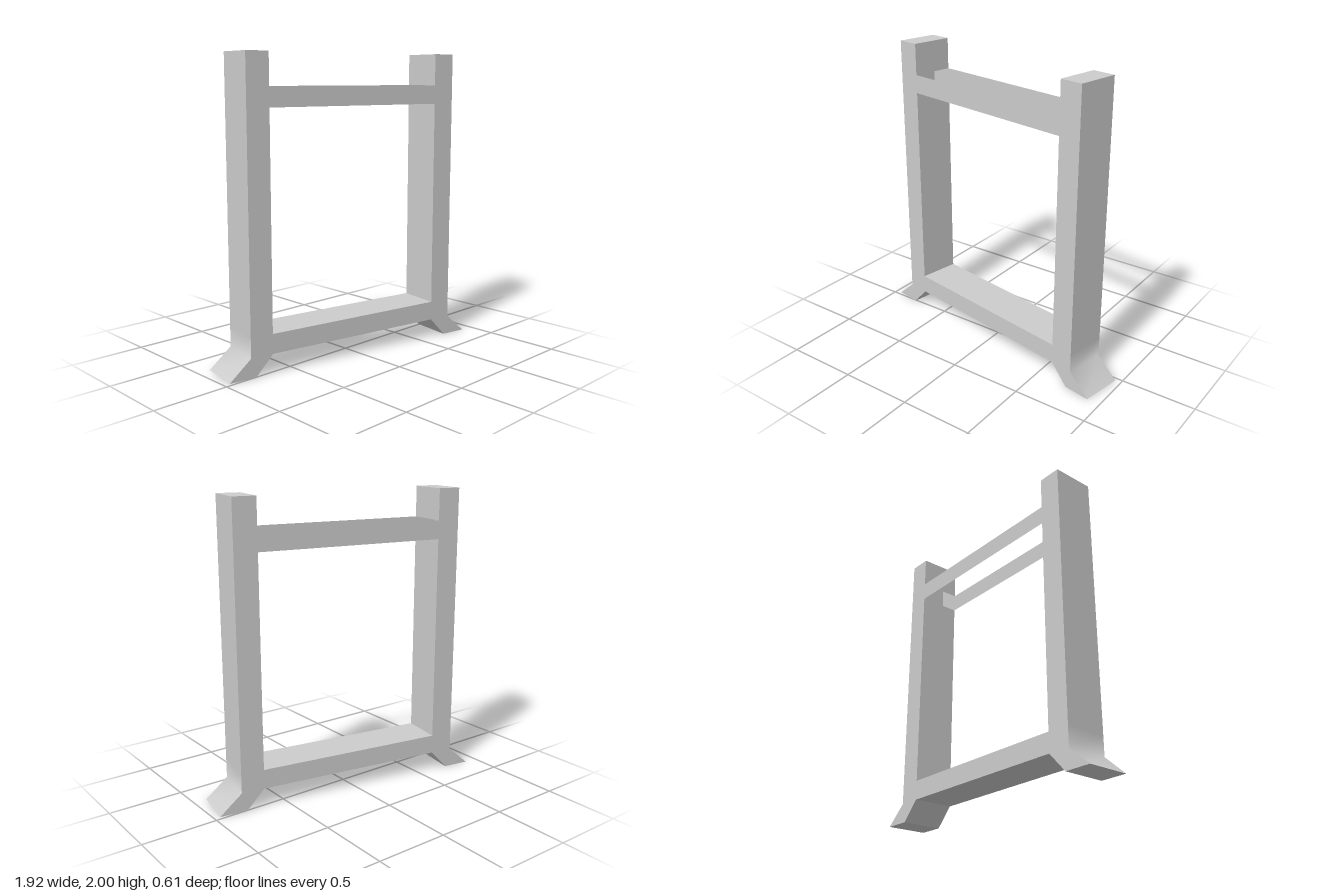
import * as THREE from 'three';

const DEPTH = 0.284;
const OUT = 0.80, INN = 0.645;            // outer and inner sides of the posts
const FOOT_OUT = 0.949, FOOT_IN = 0.767;  // splayed foot at floor level
const RAIL_LOW = 0.13, RAIL_TOP = 0.26;   // lower rail
const BAR_LOW = 1.665, BAR_TOP = 1.79;    // upper slats
const TOP = 2;

const material = new THREE.MeshStandardMaterial({ color: 0xcccccc, side: THREE.DoubleSide });

// Sweeps an xy path through the depth; outside lies to the right of the path.
function wall(points) {
  const positions = [], indices = [];
  points.forEach(([x, y], i) => {
    positions.push(x, y, DEPTH / 2, x, y, -DEPTH / 2);
    if (i > 0) {
      const a = 2 * (i - 1);
      indices.push(a, a + 1, a + 3, a, a + 3, a + 2);
    }
  });
  const geometry = new THREE.BufferGeometry();
  geometry.setAttribute('position', new THREE.Float32BufferAttribute(positions, 3));
  geometry.setIndex(indices);
  geometry.computeVertexNormals();
  return geometry;
}

const mirror = (points) => points.map(([x, y]) => [-x, y]).reverse();

// Flat outline of the whole frame: posts, feet, lower rail and upper slat
function faceGeometry() {
  const half = [
    [INN, RAIL_LOW], [FOOT_IN, 0], [FOOT_OUT, 0], [OUT, RAIL_LOW],
    [OUT, TOP], [INN, TOP], [INN, BAR_TOP],
  ];
  const toVec = ([x, y]) => new THREE.Vector2(x, y);
  const shape = new THREE.Shape([...half, ...mirror(half)].map(toVec));
  const opening = [[-INN, RAIL_TOP], [-INN, BAR_LOW], [INN, BAR_LOW], [INN, RAIL_TOP]];
  shape.holes.push(new THREE.Path(opening.map(toVec)));
  return new THREE.ShapeGeometry(shape);
}

export function createModel() {
  const model = new THREE.Group();
  model.name = 'standingFrame';

  const add = (name, geometry) => {
    const mesh = new THREE.Mesh(geometry, material);
    mesh.name = name;
    model.add(mesh);
    return mesh;
  };

  // Front and back faces; the space between the upper slats stays open
  add('frontFace', faceGeometry()).position.z = DEPTH / 2;
  const back = add('backFace', faceGeometry());
  back.position.z = -DEPTH / 2;
  back.rotation.y = Math.PI;

  // Post and foot sides, the same on left and right
  const sides = {
    OuterSide: [[FOOT_OUT, 0], [OUT, RAIL_LOW], [OUT, RAIL_TOP], [OUT, TOP]], // smooth bend
    PostTop: [[OUT, TOP], [INN, TOP]],
    UpperInnerSide: [[INN, TOP], [INN, BAR_TOP]],
    LowerInnerSide: [[INN, BAR_LOW], [INN, RAIL_TOP]],
    FootInnerSide: [[INN, RAIL_LOW], [FOOT_IN, 0]],
    FootSole: [[FOOT_IN, 0], [FOOT_OUT, 0]],
  };
  for (const [name, path] of Object.entries(sides)) {
    add('left' + name, wall(path));
    add('right' + name, wall(mirror(path)));
  }

  // Lower rail
  add('lowerRailTop', wall([[INN, RAIL_TOP], [-INN, RAIL_TOP]]));
  add('lowerRailUnderside', wall([[-INN, RAIL_LOW], [INN, RAIL_LOW]]));

  // The frame stands turned by ten degrees
  model.rotation.y = -THREE.MathUtils.degToRad(10);
  return model;
}
